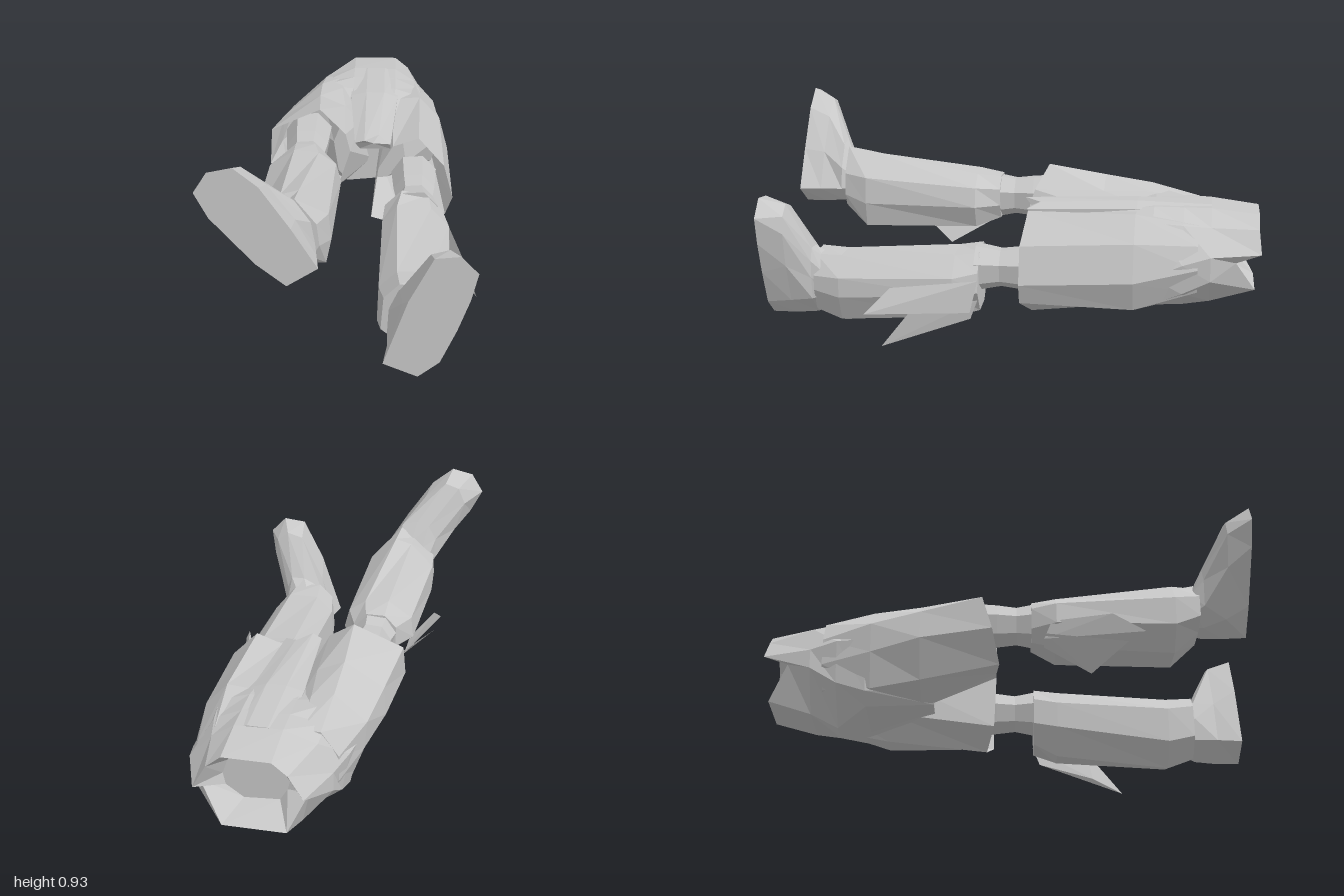
import * as THREE from 'three';
import { ConvexGeometry } from 'three/addons/geometries/ConvexGeometry.js';

const cloth = new THREE.MeshStandardMaterial({ color: 0xc8c8c8, flatShading: true, side: THREE.DoubleSide });
cloth.name = 'plain grey';

// Lofts rings [z, [x, y, zOffset?]...], ordered from back to front, points counter-clockwise seen from +z.
function loft(name, rings, capFront = true) {
  const sections = rings.map(([z, ...pts]) => pts.map(([x, y, dz = 0]) => new THREE.Vector3(x, y, z + dz)));
  const pos = [];
  const tri = (...vs) => vs.forEach(v => pos.push(v.x, v.y, v.z));
  const n = sections[0].length;
  for (let s = 0; s < sections.length - 1; s++) {
    const A = sections[s], B = sections[s + 1];
    for (let i = 0; i < n; i++) {
      const j = (i + 1) % n;
      tri(A[i], A[j], B[j]);
      tri(A[i], B[j], B[i]);
    }
  }
  const cap = (ring, front) => {
    const c = ring.reduce((a, v) => a.add(v), new THREE.Vector3()).divideScalar(n);
    ring.forEach((v, i) => front ? tri(c, v, ring[(i + 1) % n]) : tri(c, ring[(i + 1) % n], v));
  };
  cap(sections[0], false);
  if (capFront) cap(sections[sections.length - 1], true);
  const g = new THREE.BufferGeometry();
  g.setAttribute('position', new THREE.Float32BufferAttribute(pos, 3));
  g.computeVertexNormals();
  const mesh = new THREE.Mesh(g, cloth);
  mesh.name = name;
  return mesh;
}

// Thin faceted blade through a handful of points
function blade(name, pts) {
  const mesh = new THREE.Mesh(new ConvexGeometry(pts.map(p => new THREE.Vector3(...p))), cloth);
  mesh.name = name;
  return mesh;
}

export function createModel() {
  const model = new THREE.Group();
  model.name = 'recliningLegs';

  // Hips, with a recessed waist opening notched at both sides
  model.add(loft('hips', [
    [-0.87, [0.22, 0.39], [0.20, 0.45], [0.16, 0.49], [0.03, 0.49], [0.0, 0.45], [-0.04, 0.39], [-0.03, 0.35], [0.0, 0.3], [0.14, 0.29], [0.21, 0.34]],
    [-0.99, [0.30, 0.40, -0.01], [0.25, 0.49], [0.19, 0.54], [0.0, 0.54], [-0.06, 0.49], [-0.12, 0.40, -0.01], [-0.12, 0.365, 0.09], [-0.05, 0.23, 0.01], [0.20, 0.23, 0.01], [0.30, 0.365, 0.09]],
    [-0.80, [0.37, 0.40], [0.28, 0.50], [0.19, 0.56], [0.0, 0.565], [-0.13, 0.52], [-0.19, 0.40], [-0.19, 0.32], [-0.07, 0.165], [0.16, 0.165], [0.36, 0.30]],
    [-0.69, [0.39, 0.37], [0.30, 0.51], [0.19, 0.56], [0.0, 0.565], [-0.14, 0.54], [-0.23, 0.42], [-0.20, 0.25], [-0.03, 0.12], [0.12, 0.135], [0.37, 0.25]],
    [-0.57, [0.40, 0.32], [0.31, 0.52], [0.19, 0.56], [0.0, 0.56], [-0.15, 0.57], [-0.25, 0.42], [-0.21, 0.21], [-0.14, 0.17], [0.14, 0.17], [0.36, 0.20]],
    [-0.30, [0.24, 0.32], [0.22, 0.46], [0.17, 0.53], [0.03, 0.53], [-0.05, 0.5], [-0.08, 0.42], [-0.06, 0.28], [-0.02, 0.23], [0.08, 0.24], [0.16, 0.25]],
  ]));

  // Loose trouser legs, open at the hem
  model.add(loft('rightTrouserLeg', [
    [-0.75, [0.02, 0.36], [0.0, 0.50], [-0.05, 0.54], [-0.13, 0.54], [-0.20, 0.44], [-0.20, 0.33], [-0.14, 0.24], [0.0, 0.22]],
    [-0.55, [0.07, 0.32], [0.02, 0.51], [-0.05, 0.57], [-0.14, 0.59], [-0.27, 0.48], [-0.26, 0.36], [-0.21, 0.22], [0.0, 0.20]],
    [-0.35, [0.09, 0.32], [0.04, 0.50], [-0.03, 0.57], [-0.14, 0.62], [-0.30, 0.52], [-0.31, 0.40], [-0.23, 0.25], [-0.01, 0.22]],
    [-0.09, [-0.05, 0.34, 0.05], [0.0, 0.50, 0.05], [-0.02, 0.57, 0.03], [-0.13, 0.66, -0.02], [-0.335, 0.57, -0.01], [-0.34, 0.43, 0.03], [-0.25, 0.31, 0.06], [-0.14, 0.32, 0.05]],
  ], false));
  model.add(loft('leftTrouserLeg', [
    [-0.75, [0.38, 0.35], [0.35, 0.44], [0.28, 0.51], [0.18, 0.53], [0.14, 0.42], [0.14, 0.28], [0.2, 0.2], [0.34, 0.25]],
    [-0.50, [0.43, 0.30], [0.39, 0.45], [0.30, 0.55], [0.18, 0.54], [0.13, 0.42], [0.12, 0.25], [0.22, 0.16], [0.38, 0.18]],
    [-0.05, [0.44, 0.28], [0.40, 0.43], [0.29, 0.55, -0.02], [0.18, 0.51, -0.02], [0.12, 0.42, 0.01], [0.09, 0.18], [0.24, 0.12, -0.03], [0.41, 0.20]],
  ], false));

  // Front cloth panel with a ragged hem
  model.add(loft('frontPanel', [
    [-0.80, [0.19, 0.51], [0.19, 0.55], [0.14, 0.565], [0.06, 0.565], [0.0, 0.55], [0.0, 0.51]],
    [-0.50, [0.20, 0.50], [0.20, 0.55], [0.14, 0.572], [0.06, 0.572], [-0.01, 0.555], [-0.01, 0.50]],
    [-0.07, [0.17, 0.50], [0.17, 0.53, 0.02], [0.12, 0.55, -0.03], [0.06, 0.555, 0.04], [0.02, 0.54, 0.03], [0.04, 0.50]],
  ]));

  // Knees
  const knee = (name, x, y) => {
    const ring = (z, rx, ry) => [z, ...Array.from({ length: 7 }, (_, i) => {
      const a = i / 7 * Math.PI * 2 + 0.3;
      return [x + rx * Math.cos(a), y + ry * Math.sin(a)];
    })];
    return loft(name, [ring(-0.2, 0.1, 0.1), ring(-0.04, 0.09, 0.09), ring(0.04, 0.08, 0.08), ring(0.14, 0.1, 0.1)]);
  };
  model.add(knee('rightKnee', -0.18, 0.51), knee('leftKnee', 0.275, 0.31));

  // Shin guards
  model.add(loft('rightShin', [
    [0.10, [-0.09, 0.48], [-0.09, 0.55], [-0.14, 0.60], [-0.22, 0.60], [-0.27, 0.55], [-0.27, 0.46], [-0.22, 0.42], [-0.13, 0.42]],
    [0.20, [-0.03, 0.48], [-0.05, 0.56], [-0.12, 0.61], [-0.22, 0.62], [-0.32, 0.55], [-0.33, 0.46], [-0.24, 0.39], [-0.07, 0.39]],
    [0.68, [-0.05, 0.48], [-0.06, 0.59], [-0.17, 0.69], [-0.24, 0.67], [-0.34, 0.57], [-0.34, 0.45], [-0.235, 0.37], [-0.07, 0.38]],
    [0.78, [-0.09, 0.51], [-0.10, 0.60], [-0.18, 0.705], [-0.24, 0.66], [-0.33, 0.58], [-0.335, 0.49], [-0.24, 0.46], [-0.12, 0.46]],
  ]));
  model.add(loft('leftShin', [
    [0.12, [0.40, 0.23], [0.39, 0.31], [0.33, 0.38], [0.22, 0.40], [0.15, 0.33], [0.15, 0.22], [0.22, 0.15], [0.33, 0.14]],
    [0.22, [0.42, 0.22], [0.415, 0.29], [0.34, 0.37], [0.20, 0.38], [0.14, 0.31], [0.14, 0.20], [0.23, 0.10], [0.37, 0.12]],
    [0.69, [0.40, 0.19], [0.40, 0.27], [0.33, 0.35], [0.20, 0.35], [0.13, 0.28], [0.125, 0.13], [0.225, 0.045], [0.35, 0.085]],
    [0.80, [0.37, 0.21], [0.37, 0.27], [0.32, 0.35], [0.21, 0.36], [0.15, 0.30], [0.14, 0.16], [0.225, 0.09], [0.33, 0.12]],
  ]));

  // Feet, with flat soles facing forward
  model.add(loft('rightFoot', [
    [0.76, [-0.12, 0.53], [-0.13, 0.59], [-0.18, 0.66], [-0.23, 0.65], [-0.28, 0.62], [-0.31, 0.58], [-0.30, 0.52], [-0.24, 0.48], [-0.16, 0.48]],
    [0.80, [-0.105, 0.53], [-0.12, 0.62], [-0.18, 0.71], [-0.25, 0.73], [-0.30, 0.71], [-0.335, 0.65], [-0.325, 0.54], [-0.25, 0.475], [-0.16, 0.47]],
    [0.89, [-0.095, 0.53], [-0.17, 0.68], [-0.27, 0.82], [-0.36, 0.89], [-0.42, 0.87], [-0.45, 0.80], [-0.41, 0.67], [-0.28, 0.50], [-0.18, 0.46]],
    [0.98, [-0.085, 0.53], [-0.18, 0.69], [-0.29, 0.855], [-0.38, 0.93], [-0.47, 0.91], [-0.52, 0.83], [-0.47, 0.73], [-0.31, 0.545], [-0.20, 0.455]],
  ]));
  model.add(loft('leftFoot', [
    [0.77, [0.35, 0.18], [0.36, 0.24], [0.36, 0.29], [0.32, 0.34], [0.27, 0.35], [0.20, 0.32], [0.17, 0.24], [0.17, 0.16], [0.26, 0.11]],
    [0.81, [0.36, 0.17], [0.37, 0.26], [0.37, 0.33], [0.35, 0.38], [0.29, 0.38], [0.21, 0.34], [0.17, 0.25], [0.165, 0.15], [0.27, 0.09]],
    [0.90, [0.36, 0.16], [0.42, 0.32], [0.45, 0.46], [0.44, 0.53], [0.39, 0.57], [0.32, 0.55], [0.22, 0.34], [0.165, 0.15], [0.28, 0.085]],
    [1.00, [0.36, 0.15], [0.42, 0.29], [0.465, 0.42], [0.49, 0.53], [0.425, 0.60], [0.33, 0.59], [0.24, 0.41], [0.15, 0.14], [0.28, 0.085]],
  ]));

  // Ragged blades on the outer sides of the shins
  model.add(
    blade('rightUpperBlade', [[-0.32, 0.47, 0.18], [-0.39, 0.47, 0.42], [-0.405, 0.385, 0.55], [-0.34, 0.42, 0.38], [-0.30, 0.40, 0.15]]),
    blade('rightLowerBlade', [[-0.26, 0.38, 0.15], [-0.31, 0.42, 0.15], [-0.385, 0.35, 0.48], [-0.25, 0.27, 0.34]]),
    blade('leftUpperBlade', [[0.40, 0.28, 0.12], [0.47, 0.26, 0.46], [0.517, 0.16, 0.56], [0.43, 0.19, 0.38], [0.41, 0.15, 0.15]]),
    blade('leftLowerBlade', [[0.40, 0.20, 0.12], [0.43, 0.19, 0.36], [0.425, 0.0, 0.51], [0.40, 0.06, 0.38], [0.39, 0.12, 0.15]]),
  );
  return model;
}
